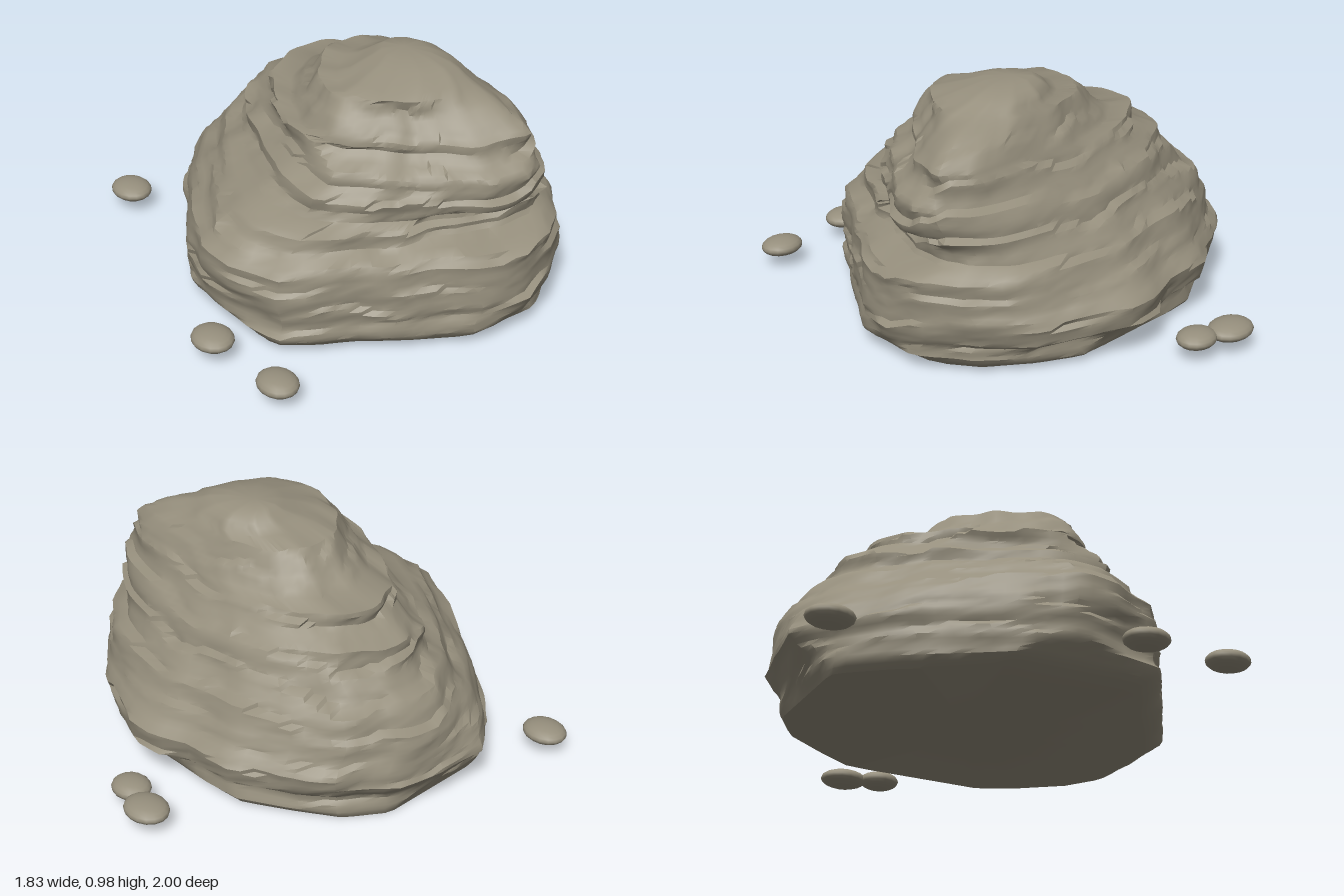
import * as THREE from 'three';
import { toCreasedNormals } from 'three/addons/utils/BufferGeometryUtils.js';

const COLS = 96, ROWS = 56, TOP = 0.975;
const { smoothstep, lerp } = THREE.MathUtils;

// Silhouette profiles as [height, offset]
const LEFT = [[0, -.7], [.08, -.74], [.18, -.83], [.33, -.79], [.43, -.72], [.5, -.64], [.55, -.58], [.63, -.55],
  [.65, -.49], [.68, -.43], [.73, -.43], [.75, -.28], [.8, -.21], [.89, -.12], [.91, .02], [.95, .07], [.98, .12]];
const RIGHT = [[0, .74], [.07, .85], [.17, .91], [.38, .89], [.42, .83], [.53, .81],
  [.63, .81], [.7, .76], [.77, .75], [.82, .68], [.9, .54], [.96, .4], [.98, .3]];
const FRONT = [[0, .65], [.03, .72], [.1, .78], [.26, .82], [.35, .81], [.38, .76], [.48, .66], [.5, .57],
  [.54, .52], [.6, .5], [.62, .44], [.73, .41], [.84, .33], [.9, .28], [.95, .12], [.98, .02]];
const BACK = [[0, -.55], [.03, -.6], [.1, -.63], [.14, -.71], [.23, -.72], [.28, -.66], [.43, -.56], [.5, -.49],
  [.58, -.45], [.68, -.37], [.78, -.31], [.86, -.26], [.95, -.2], [.98, -.12]];

// Plan outlines from the ground up, as [x, z]
const FOOT = [[.91, -.08], [.85, .1], [.73, .3], [.6, .48], [.52, .62], [.42, .74], [.25, .79], [.07, .82], [-.13, .78],
  [-.33, .64], [-.55, .5], [-.72, .36], [-.82, .2], [-.8, 0], [-.74, -.22], [-.63, -.4], [-.45, -.53], [-.28, -.64],
  [-.07, -.66], [.07, -.72], [.2, -.72], [.37, -.66], [.55, -.56], [.73, -.42], [.84, -.25]];
const WAIST = [[.83, -.12], [.76, .06], [.63, .26], [.5, .46], [.38, .63], [.2, .71], [.05, .71], [-.15, .6],
  [-.42, .4], [-.6, .25], [-.73, .05], [-.71, -.14], [-.6, -.33], [-.43, -.46], [-.2, -.54], [.1, -.58],
  [.35, -.55], [.57, -.48], [.72, -.37], [.8, -.25]];
const SHOULDER = [[.81, -.18], [.77, -.03], [.67, .11], [.54, .29], [.4, .44], [.2, .44], [0, .36], [-.2, .28],
  [-.37, .17], [-.45, .04], [-.44, -.1], [-.35, -.25], [-.2, -.36], [0, -.42], [.2, -.43], [.45, -.41], [.67, -.36], [.78, -.27]];
const SUMMIT = [[.75, -.22], [.68, -.05], [.55, .1], [.42, .27], [.35, .33], [.2, .31], [.08, .25], [-.07, .13],
  [-.13, 0], [-.11, -.13], [-.02, -.23], [.2, -.3], [.4, -.31], [.65, -.3]];
const CROWN = [[.5, -.08], [.45, .08], [.35, .2], [.2, .24], [.05, .17], [-.05, .05], [-.06, -.08],
  [0, -.18], [.15, -.25], [.32, -.24], [.45, -.18]];
// Height range over which each outline above the foot takes over
const BLENDS = [[.15, .42], [.42, .62], [.64, .77], [.84, .93]];

function sample(profile, y) {
  const i = Math.max(1, profile.findIndex(p => y <= p[0]));
  const [y0, a] = profile[i - 1], [y1, b] = profile[i];
  return lerp(a, b, (y - y0) / (y1 - y0));
}

// Radii of an outline by angle, with its bounds scaled to -1..1
function radii(outline) {
  const xs = outline.map(p => p[0]), zs = outline.map(p => p[1]);
  const unit = (v, all) => 2 * (v - Math.min(...all)) / (Math.max(...all) - Math.min(...all)) - 1;
  const pts = outline.map(([x, z]) => [unit(x, xs), unit(z, zs)]);
  return Array.from({ length: COLS }, (_, j) => {
    const c = Math.cos(j / COLS * 2 * Math.PI), s = Math.sin(j / COLS * 2 * Math.PI);
    let best = 0;
    pts.forEach(([ax, az], i) => {
      const [bx, bz] = pts[(i + 1) % pts.length];
      const da = ax * s - az * c, db = bx * s - bz * c;
      if (da * db > 0 || da === db) return;
      const t = da / (da - db);
      best = Math.max(best, lerp(ax, bx, t) * c + lerp(az, bz, t) * s);
    });
    return best;
  });
}

const hash = n => { const v = Math.sin(n * 127.1 + 11.3) * 43758.5453; return v - Math.floor(v); };

function rockGeometry() {
  const [foot, ...upper] = [FOOT, WAIST, SHOULDER, SUMMIT, CROWN].map(radii);
  const pos = [], index = [];
  for (let i = 0; i <= ROWS; i++) {
    const y = TOP * i / ROWS;
    const x0 = sample(LEFT, y), x1 = sample(RIGHT, y), z0 = sample(BACK, y), z1 = sample(FRONT, y);
    const fade = smoothstep(y, 0, .12) * (1 - smoothstep(y, .86, .95));
    const spread = 1 + .1 * (1 - smoothstep(y, 0, .16));
    const notch = .1 * smoothstep(y, .38, .43) * (1 - smoothstep(y, .49, .53));
    // Ledges are faint on the foot and bold above it
    const ledge = lerp(.012, .045, smoothstep(y, .28, .45));
    for (let j = 0; j < COLS; j++) {
      const a = j / COLS * 2 * Math.PI, c = Math.cos(a), s = Math.sin(a);
      // Wavy strata: each layer swells to its lip, then steps back
      const wave = .3 * Math.sin(2 * a + 1) + .2 * Math.sin(5 * a + y * 4) + .08 * Math.sin(11 * a + y * 9);
      const layer = y / .1 + wave, f = layer - Math.floor(layer);
      const lumps = .007 * Math.sin(7 * a + 3 * Math.floor(layer)) + .007 * Math.sin(13 * a + 5 * y)
        + .008 * (hash(i * 97 + j) - .5);
      const outline = upper.reduce((r, next, k) => lerp(r, next[j], smoothstep(y, ...BLENDS[k])), foot[j]);
      const r = Math.min(outline * spread, 1 / Math.max(Math.abs(c), Math.abs(s)))
        * (1 + fade * (ledge * (f - .5) + lumps));
      // The notch undercuts the left flank only
      const cut = notch * Math.exp(-10 * (1 - Math.cos(a + .1)));
      pos.push((x0 + x1) / 2 + c * r * (x1 - x0) / 2 - cut,
        y + fade * (.008 * Math.sin(3 * a + y * 5) + .005 * Math.sin(9 * a)),
        (z0 + z1) / 2 + s * r * (z1 - z0) / 2);
    }
  }
  const base = pos.length / 3, top = base + 1, last = ROWS * COLS;
  pos.push(0, 0, 0, .2, .98, -.06);
  for (let j = 0; j < COLS; j++) {
    const n = (j + 1) % COLS;
    for (let i = 0; i < ROWS; i++) {
      const a = i * COLS + j, b = i * COLS + n;
      index.push(a, a + COLS, b, b, a + COLS, b + COLS);
    }
    index.push(j, n, base, last + n, last + j, top);
  }
  const g = new THREE.BufferGeometry();
  g.setAttribute('position', new THREE.Float32BufferAttribute(pos, 3));
  g.setIndex(index);
  return toCreasedNormals(g, .6);
}

export function createModel() {
  const group = new THREE.Group();
  group.name = 'layeredRock';
  const stone = new THREE.MeshStandardMaterial({ color: 0x968f7d });
  stone.name = 'stone';

  const rock = new THREE.Mesh(rockGeometry(), stone);
  rock.name = 'rock';
  group.add(rock);

  // Flat pebbles around the foot: x, z, half width, half depth
  const pebbles = [[-.825, .58, .095, .08], [.26, .915, .092, .08], [.63, .885, .09, .076],
    [-.125, -.917, .1, .083], [.022, -.873, .085, .075]];
  const ball = new THREE.SphereGeometry(1, 16, 10);
  pebbles.forEach(([x, z, w, d], i) => {
    const pebble = new THREE.Mesh(ball, stone);
    pebble.name = 'pebble' + (i + 1);
    pebble.position.set(x, .085, z);
    pebble.scale.set(w, .037, d);
    group.add(pebble);
  });
  return group;
}
